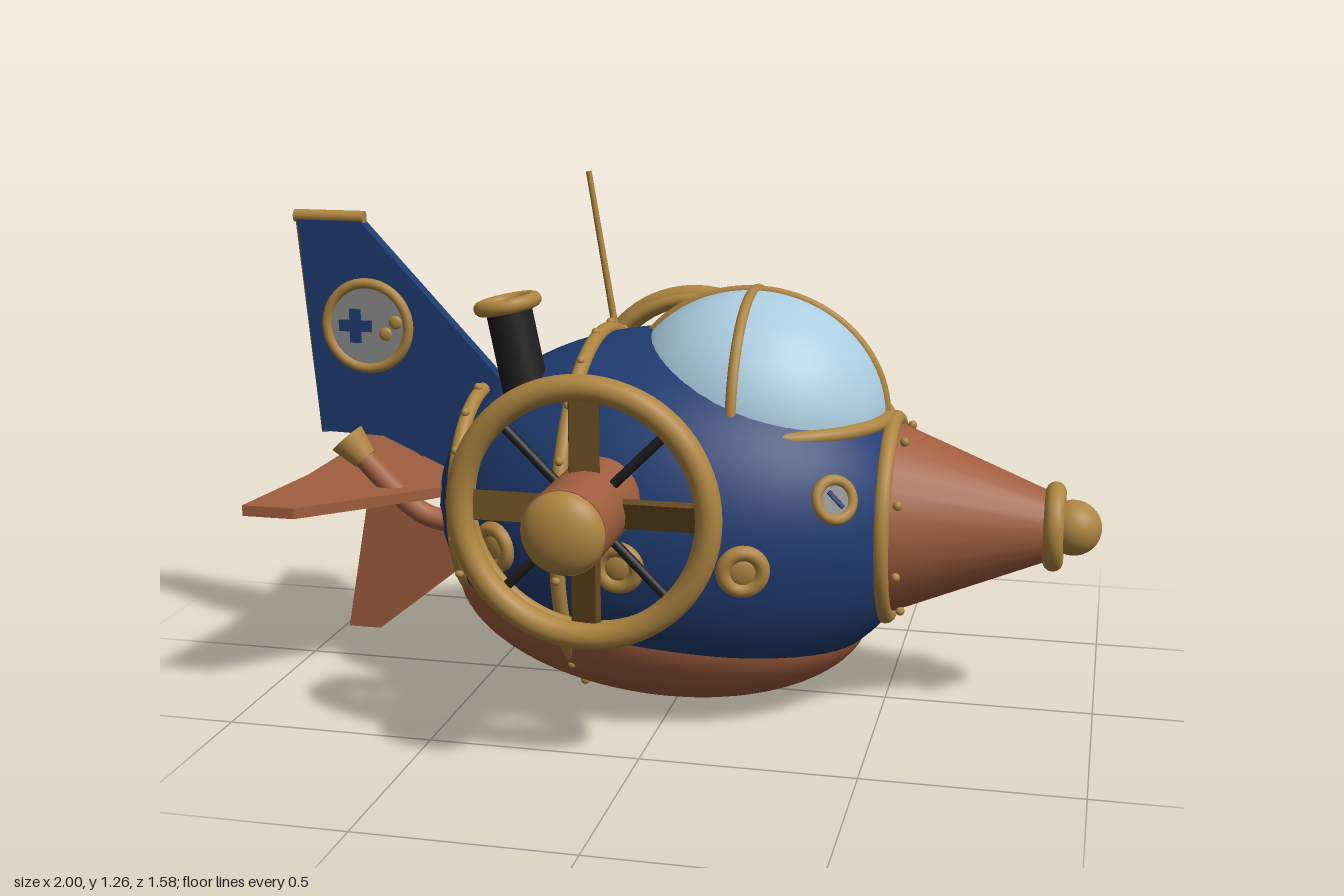
import * as THREE from 'three';

const mat = (name, color) => Object.assign(new THREE.MeshStandardMaterial({ color }), { name });
const blue = mat('navy paint', 0x203c72);
const copper = mat('copper', 0xa05e3e);
const gold = mat('brass', 0xae8540);
const glass = mat('pale glass', 0xabcde0);
const black = mat('black iron', 0x1f1f20);
const bronze = mat('dark bronze', 0x66491f);
const grey = mat('grey dial', 0x8c8c8c);

const V = (x, y, z) => new THREE.Vector3(x, y, z);
const HULL = { c: V(-0.01, 0.46, 0), r: V(0.61, 0.445, 0.445) };

function add(parent, name, geo, material, x = 0, y = 0, z = 0) {
  const m = new THREE.Mesh(geo, material);
  m.name = name;
  m.position.set(x, y, z);
  parent.add(m);
  return m;
}

// Cylinder or cone running from point a to point b
function rod(parent, name, a, b, ra, rb, material, open = false) {
  const d = b.clone().sub(a);
  const m = add(parent, name, new THREE.CylinderGeometry(rb, ra, d.length(), 24, 1, open), material);
  m.position.copy(a).addScaledVector(d, 0.5);
  m.quaternion.setFromUnitVectors(V(0, 1, 0), d.normalize());
  return m;
}

function ellipsoid(parent, name, c, r, material) {
  const m = add(parent, name, new THREE.SphereGeometry(1, 64, 40), material, c.x, c.y, c.z);
  m.scale.copy(r);
  return m;
}

// Flat plate cut from an outline in the xy plane, centred on z = 0
function plate(parent, name, pts, t, material) {
  const s = new THREE.Shape(pts.map(p => new THREE.Vector2(p[0], p[1])));
  const g = new THREE.ExtrudeGeometry(s, { depth: t, bevelEnabled: false });
  g.translate(0, 0, -t / 2);
  return add(parent, name, g, material);
}

// Band around the hull at a given x, with rivets
function band(parent, name, x, y, r, tube, count, rivetX, rivetR) {
  const g = new THREE.Group();
  g.name = name;
  g.position.set(x, y, 0);
  parent.add(g);
  add(g, 'ring', new THREE.TorusGeometry(r, tube, 12, 72), gold).rotation.y = Math.PI / 2;
  for (let i = 0; i < count; i++) {
    const a = (i + 0.5) / count * Math.PI * 2;
    add(g, 'rivet', new THREE.SphereGeometry(0.011, 10, 8), gold, rivetX, Math.sin(a) * rivetR, Math.cos(a) * rivetR);
  }
}

// Group sitting on the +z side of the hull, its z axis along the surface normal
function onHull(parent, name, x, y) {
  const { c, r } = HULL;
  const u = (x - c.x) / r.x, v = (y - c.y) / r.y;
  const w = Math.sqrt(1 - u * u - v * v);
  const g = new THREE.Group();
  g.name = name;
  g.position.set(x, y, w * r.z);
  g.quaternion.setFromUnitVectors(V(0, 0, 1), V(u / r.x, v / r.y, w / r.z).normalize());
  parent.add(g);
  return g;
}

function wheel(parent, s) {
  const g = new THREE.Group();
  g.name = s > 0 ? 'frontSideWheel' : 'backSideWheel';
  g.position.set(-0.1, 0.6, 0);
  parent.add(g);
  add(g, 'outerRim', new THREE.TorusGeometry(0.28, 0.03, 16, 72), gold, 0, 0, s * 0.59);
  add(g, 'innerRim', new THREE.TorusGeometry(0.278, 0.017, 12, 72), gold, 0, 0, s * 0.537);
  rod(g, 'axle', V(0, 0, s * 0.45), V(0, 0, s * 0.74), 0.094, 0.094, copper);
  ellipsoid(g, 'axleCap', V(0, 0, s * 0.738), V(0.092, 0.092, 0.052), gold);
  add(g, 'bracket', new THREE.BoxGeometry(0.13, 0.06, 0.1), bronze, 0, 0, s * 0.41);
  for (let i = 0; i < 4; i++) {
    const a = i * Math.PI / 2, b = a + Math.PI / 4;
    const blade = add(g, 'blade', new THREE.BoxGeometry(0.2, 0.066, 0.02), bronze,
      Math.cos(a) * 0.16, Math.sin(a) * 0.16, s * 0.57);
    blade.rotation.set(0, 0, a);
    blade.rotateX(0.35);
    rod(g, 'spoke', V(Math.cos(b) * 0.07, Math.sin(b) * 0.07, s * 0.57),
      V(Math.cos(b) * 0.27, Math.sin(b) * 0.27, s * 0.57), 0.011, 0.011, black);
  }
  // Curved pipe bracing the axle against the hull
  const path = new THREE.CatmullRomCurve3([V(0, -0.13, s * 0.4), V(0, -0.1, s * 0.46), V(0, -0.03, s * 0.52)]);
  add(g, 'bracePipe', new THREE.TubeGeometry(path, 16, 0.02, 12), copper);
}

export function createModel() {
  const model = new THREE.Group();
  model.name = 'submarine';

  // Hull and keel
  ellipsoid(model, 'hull', HULL.c, HULL.r, blue);
  ellipsoid(model, 'keel', V(-0.06, 0.25, 0), V(0.52, 0.245, 0.38), copper).rotation.z = -0.09;
  band(model, 'rearBand', -0.513, 0.475, 0.258, 0.018, 16, 0, 0.276);
  band(model, 'middleBand', -0.208, 0.46, 0.428, 0.018, 20, 0, 0.444);
  band(model, 'noseBand', 0.505, 0.465, 0.237, 0.02, 8, 0.035, 0.225);

  // Glass dome with base ring and two crossing ribs
  const dome = new THREE.Group();
  dome.name = 'dome';
  dome.position.set(0.165, 0.71, 0);
  dome.scale.set(1.09, 1, 1);
  model.add(dome);
  add(dome, 'glass', new THREE.SphereGeometry(0.295, 48, 24, 0, Math.PI * 2, 0, Math.PI / 2), glass);
  add(dome, 'baseRing', new THREE.TorusGeometry(0.295, 0.018, 12, 72), gold).rotation.x = Math.PI / 2;
  for (const turn of [0, Math.PI / 2])
    add(dome, 'rib', new THREE.TorusGeometry(0.293, 0.012, 10, 48, Math.PI), gold).rotation.y = turn;

  // Nose cone
  rod(model, 'noseCone', V(0.5, 0.465, 0), V(0.89, 0.465, 0), 0.234, 0.078, copper);
  add(model, 'noseRing', new THREE.TorusGeometry(0.083, 0.024, 14, 48), gold, 0.89, 0.465, 0).rotation.y = Math.PI / 2;
  add(model, 'noseBall', new THREE.SphereGeometry(0.066, 32, 20), gold, 0.934, 0.465, 0);

  // Side wheels
  for (const s of [1, -1]) wheel(model, s);

  // Portholes and gauge on the front side
  for (const x of [-0.38, -0.06, 0.22]) {
    const g = onHull(model, 'porthole', x, 0.435);
    add(g, 'frame', new THREE.TorusGeometry(0.044, 0.018, 12, 32), gold);
    ellipsoid(g, 'cover', V(0, 0, 0), V(0.036, 0.036, 0.014), gold);
  }
  const gauge = onHull(model, 'gauge', 0.408, 0.583);
  add(gauge, 'frame', new THREE.TorusGeometry(0.045, 0.013, 12, 32), gold);
  add(gauge, 'dial', new THREE.CircleGeometry(0.045, 32), grey, 0, 0, 0.004);
  add(gauge, 'needle', new THREE.BoxGeometry(0.05, 0.01, 0.006), blue, 0, 0, 0.008).rotation.z = -0.8;

  // Tail fin with brass edging
  plate(model, 'tailFin', [[-0.985, 1.14], [-0.82, 1.14], [-0.44, 0.73], [-0.5, 0.55], [-0.62, 0.53],
    [-0.78, 0.6], [-0.945, 0.605]], 0.036, blue);
  rod(model, 'finTopTrim', V(-0.997, 1.148, 0), V(-0.815, 1.148, 0), 0.016, 0.016, gold);
  rod(model, 'finRearTrim', V(-0.983, 1.14, 0), V(-0.938, 0.6, 0), 0.013, 0.013, gold);

  // Round panel with a cross and two knobs on the fin
  const panel = new THREE.Group();
  panel.name = 'finPanel';
  panel.position.set(-0.81, 0.88, 0.018);
  model.add(panel);
  add(panel, 'frame', new THREE.TorusGeometry(0.107, 0.013, 12, 48), gold);
  add(panel, 'face', new THREE.CircleGeometry(0.107, 48), grey, 0, 0, 0.003);
  add(panel, 'crossBar', new THREE.BoxGeometry(0.085, 0.028, 0.008), blue, -0.03, 0, 0.006);
  add(panel, 'crossPost', new THREE.BoxGeometry(0.028, 0.085, 0.008), blue, -0.03, 0, 0.006);
  for (const [x, y] of [[0.048, -0.018], [0.075, 0.012]])
    ellipsoid(panel, 'knob', V(x, y, 0.004), V(0.017, 0.017, 0.008), gold);

  // Level tail planes and lower rudder
  const half = [[-0.99, 0.4], [-0.86, 0.4], [-0.61, 0.17], [-0.55, 0.1]];
  const outline = [[-0.95, 0.1], ...half, ...half.map(([x, z]) => [x, -z]).reverse(), [-0.95, -0.1]];
  const planes = plate(model, 'tailPlanes', outline, 0.026, copper);
  planes.rotation.x = Math.PI / 2;
  planes.position.y = 0.498;
  plate(model, 'rudder', [[-0.83, 0.435], [-0.56, 0.38], [-0.56, 0.285], [-0.81, 0.085], [-0.895, 0.085]], 0.026, copper);

  // Twin exhaust pipes
  for (const s of [1, -1]) {
    const path = new THREE.CatmullRomCurve3([V(-0.52, 0.42, s * 0.14), V(-0.62, 0.44, s * 0.15),
      V(-0.7, 0.5, s * 0.155), V(-0.785, 0.585, s * 0.155)]);
    add(model, 'exhaustPipe', new THREE.TubeGeometry(path, 24, 0.027, 14), copper);
    rod(model, 'exhaustTip', V(-0.775, 0.575, s * 0.155), V(-0.82, 0.625, s * 0.155), 0.03, 0.046, gold);
  }

  // Chimney and antenna
  const base = V(-0.345, 0.7, 0.155), top = V(-0.4, 0.975, 0.155);
  const stack = rod(model, 'chimney', base, top, 0.055, 0.055, black, true);
  stack.material = black;
  const rim = add(model, 'chimneyRim', new THREE.TorusGeometry(0.064, 0.018, 12, 40), gold);
  rim.position.copy(top);
  rim.quaternion.setFromUnitVectors(V(0, 0, 1), top.clone().sub(base).normalize());
  const plug = add(model, 'chimneyMouth', new THREE.CircleGeometry(0.056, 32), black);
  plug.position.copy(top).lerp(base, 0.05);
  plug.quaternion.copy(rim.quaternion);
  rod(model, 'antenna', V(-0.195, 0.84, -0.09), V(-0.265, 1.265, -0.09), 0.009, 0.007, gold);

  return model;
}
